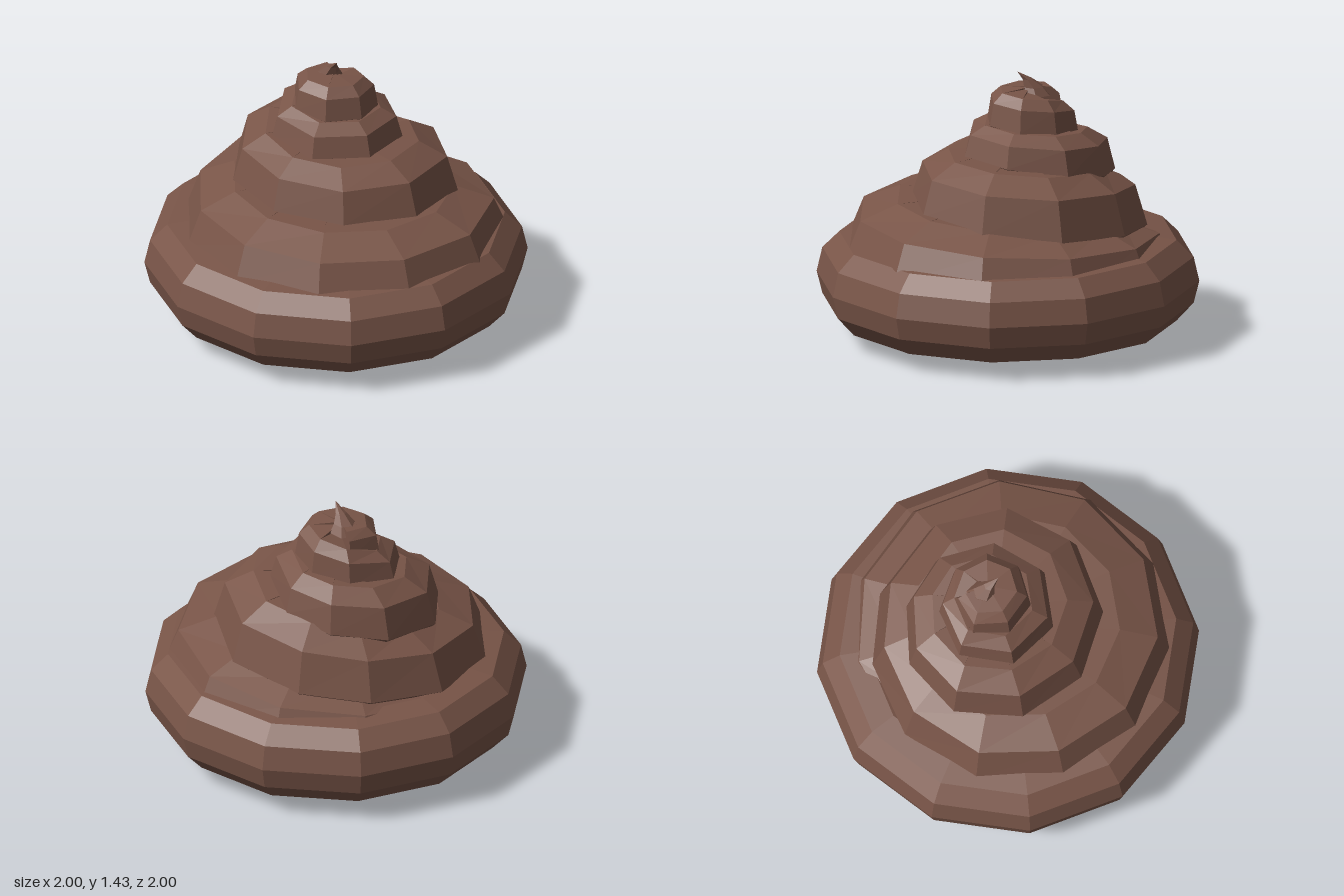
import * as THREE from 'three';

const material = new THREE.MeshStandardMaterial({ color: 0x795548, flatShading: true });

// One key per quarter turn, starting at the left: radius, underside height, top height
const KEYS = [
  [0.82, 0.28, 0.53],
  [0.89, 0.34, 0.66], [0.91, 0.40, 0.74], [0.86, 0.43, 0.77], [0.80, 0.46, 0.81],
  [0.67, 0.55, 0.94], [0.65, 0.65, 1.00], [0.58, 0.71, 1.01], [0.54, 0.75, 1.07],
  [0.42, 0.86, 1.13], [0.36, 0.96, 1.16], [0.36, 0.97, 1.17], [0.34, 1.00, 1.21],
  [0.24, 1.06, 1.30], [0.23, 1.12, 1.33], [0.23, 1.13, 1.34], [0.23, 1.15, 1.34],
  [0.14, 1.21, 1.35],
];

// Cross-section of the coil as fractions of its radius and height
const SECTION = [[0, 0], [0.88, 0], [1, 0.18], [0.91, 0.75], [0.68, 0.98], [0, 1.04]];

function makeCoil() {
  const curve = new THREE.CatmullRomCurve3(KEYS.map((k) => new THREE.Vector3(...k)));
  const last = KEYS.length - 1;
  const positions = [];
  const indices = [];
  const n = SECTION.length;
  let rings = 0;
  // Facets get coarser towards the top
  for (let turn = 0; turn <= last; turn += turn < 5 ? 0.36 : turn < 9 ? 0.43 : 0.56) {
    const [r, under, top] = curve.getPoint(turn / last).toArray();
    const angle = (turn - 2) * Math.PI / 2;
    const drift = THREE.MathUtils.smoothstep(turn, 3, 8);
    for (const [fr, fy] of SECTION) {
      positions.push(
        -0.04 * drift + r * fr * Math.cos(angle),
        under + (top - under) * fy,
        -0.1 * drift + r * fr * Math.sin(angle),
      );
    }
    rings++;
  }
  for (let i = 0; i < rings - 1; i++) {
    for (let j = 0; j < n - 1; j++) {
      const a = i * n + j;
      const b = a + n;
      indices.push(a, a + 1, b, a + 1, b + 1, b);
    }
  }
  // Close both ends
  const end = (rings - 1) * n;
  for (let j = 1; j < n - 1; j++) {
    indices.push(0, j + 1, j, end, end + j, end + j + 1);
  }
  const geometry = new THREE.BufferGeometry();
  geometry.setAttribute('position', new THREE.Float32BufferAttribute(positions, 3));
  geometry.setIndex(indices);
  geometry.computeVertexNormals();
  return geometry;
}

function lathe(profile, sides, startDegrees) {
  const points = profile.map(([r, y]) => new THREE.Vector2(r, y));
  return new THREE.LatheGeometry(points, sides, THREE.MathUtils.degToRad(startDegrees));
}

export function createModel() {
  const group = new THREE.Group();
  const add = (name, geometry) => {
    const mesh = new THREE.Mesh(geometry, material);
    mesh.name = name;
    group.add(mesh);
    return mesh;
  };

  // Fat twelve-sided bottom ring
  add('baseRing', lathe([
    [0.54, 0.17], [0.62, 0.09], [0.76, 0.055], [0.89, 0.09], [0.98, 0.19], [1.01, 0.31],
    [0.98, 0.44], [0.89, 0.53], [0.75, 0.55], [0.5, 0.48],
  ], 12, 21.5));

  // Shallow bulge closing the underside, its lowest point off centre
  const underside = lathe([[0, 0], [0.16, 0.012], [0.36, 0.055], [0.6, 0.15]], 12, 10);
  const p = underside.attributes.position;
  for (let i = 0; i < p.count; i++) {
    const shift = 1 - p.getY(i) / 0.15;
    p.setX(i, p.getX(i) - 0.04 * shift);
    p.setZ(i, p.getZ(i) - 0.05 * shift);
  }
  add('underside', underside);

  // Coil winding up to the top
  add('spiralCoil', makeCoil());

  // Small hooked tip, leaning as it rises
  const tip = new THREE.ConeGeometry(0.085, 0.13, 6, 3);
  const t = tip.attributes.position;
  for (let i = 0; i < t.count; i++) {
    const rise = (t.getY(i) + 0.065) / 0.13;
    t.setX(i, t.getX(i) + 0.07 * rise * rise);
    t.setZ(i, t.getZ(i) + 0.07 * rise * rise);
  }
  add('tip', tip).position.set(-0.08, 1.365, -0.12);

  return group;
}
